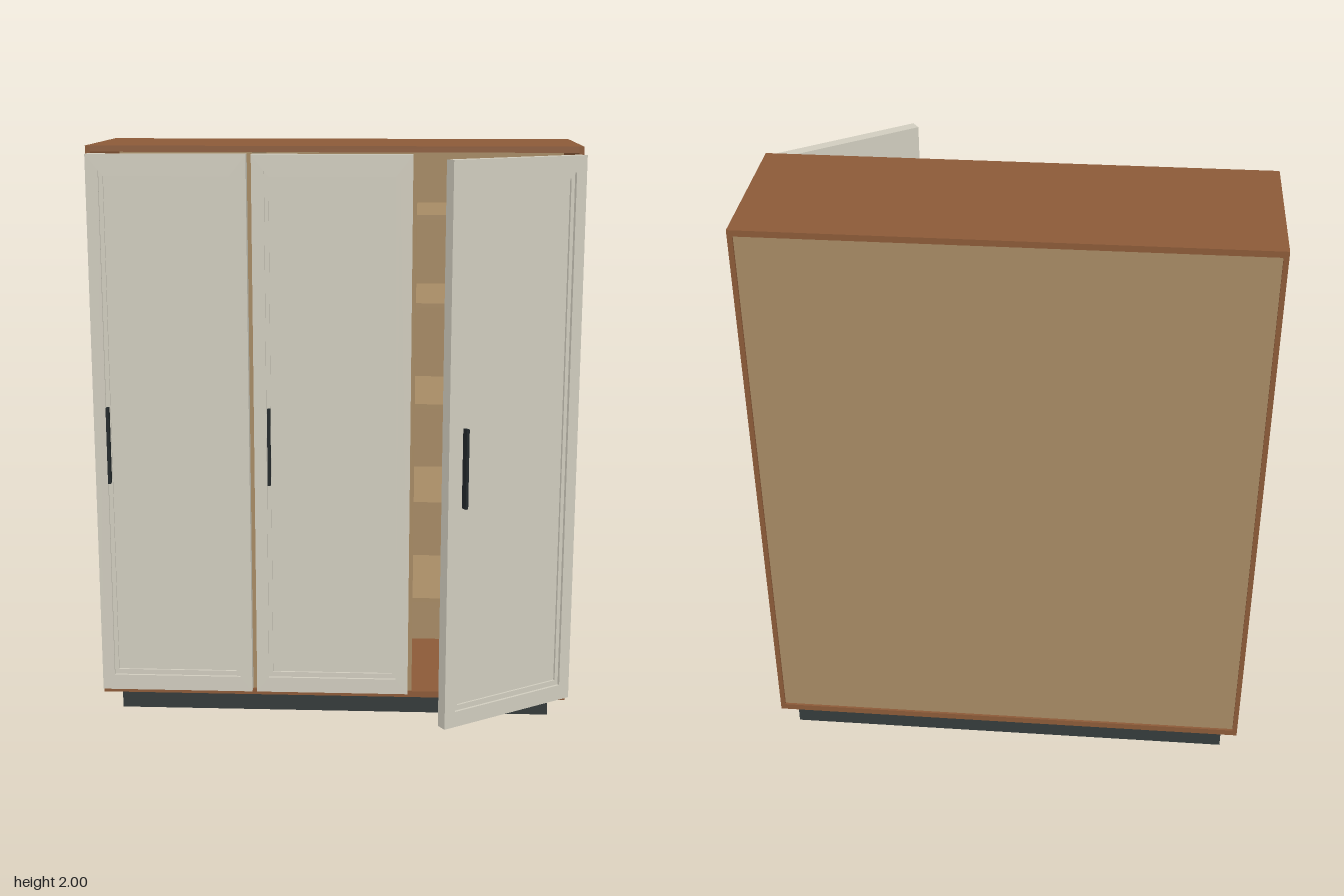
import * as THREE from 'three';

const mat = (name, color) => Object.assign(new THREE.MeshStandardMaterial({ color }), { name });

export function createModel() {
  const wood = mat('brown wood', 0x8b5a38);
  const lining = mat('tan lining', 0xa68a64);
  const paint = mat('door paint', 0xd0ccbe);
  const dark = mat('plinth charcoal', 0x343b3b);
  const metal = mat('handle black', 0x22282a);
  const model = new THREE.Group();
  model.name = 'wardrobe';

  // Box given by its low and high corners
  const box = (parent, name, material, [x0, y0, z0], [x1, y1, z1]) => {
    const mesh = new THREE.Mesh(new THREE.BoxGeometry(x1 - x0, y1 - y0, z1 - z0), material);
    mesh.position.set((x0 + x1) / 2, (y0 + y1) / 2, (z0 + z1) / 2);
    mesh.name = name;
    parent.add(mesh);
    return mesh;
  };

  // Rectangular ring: outer rectangle less an inner one, extruded along z
  const ring = (parent, name, [x0, y0, x1, y1], mx, my, z, depth) => {
    const rect = (T, a, b, c, d) => new T([[a, b], [c, b], [c, d], [a, d]].map(p => new THREE.Vector2(...p)));
    const shape = rect(THREE.Shape, x0, y0, x1, y1);
    shape.holes.push(rect(THREE.Path, x0 + mx, y0 + my, x1 - mx, y1 - my));
    const mesh = new THREE.Mesh(new THREE.ExtrudeGeometry(shape, { depth, bevelEnabled: false }), paint);
    mesh.position.z = z;
    mesh.name = name;
    parent.add(mesh);
  };

  // Carcass and plinth
  const L = -0.818, R = 0.812, B = -0.44, F = 0.104, T = 0.016;
  box(model, 'plinth', dark, [-0.765, 0, -0.405], [0.758, 0.086, 0.035]);
  box(model, 'leftSide', wood, [R - T, 0.086, B], [R, 2, F]);
  box(model, 'rightSide', wood, [L, 0.086, B], [L + T, 2, F]);
  box(model, 'top', wood, [L + T, 1.98, B], [R - T, 2, F]);
  box(model, 'bottom', wood, [L + T, 0.086, B], [R - T, 0.108, F]);
  box(model, 'backPanel', lining, [L + T, 0.108, B + 0.008], [R - T, 1.98, B + 0.018]);

  // Interior partitions and shelves
  for (const x of [-0.286, 0.256]) {
    box(model, 'partition', lining, [x, 0.108, B + 0.018], [x + 0.018, 1.98, F - 0.006]);
  }
  for (const y of [0.437, 0.785, 1.13, 1.475, 1.768]) {
    box(model, 'shelf', lining, [0.274, y - 0.007, B + 0.018], [R - T, y + 0.007, F - 0.03]);
  }

  // Panelled door, origin at its hinge on the back face, extending toward -x
  const W = 0.528, Y0 = 0.112, Y1 = 1.975;
  const makeDoor = (name, x, z, angle) => {
    const door = new THREE.Group();
    door.name = name;
    box(door, 'doorPanel', paint, [-W, Y0, 0], [0, Y1, 0.022]);
    ring(door, 'doorFrame', [-W, Y0, 0, Y1], 0.042, 0.054, 0.022, 0.016);
    ring(door, 'doorMoulding', [-W + 0.042, Y0 + 0.054, -0.042, Y1 - 0.054], 0.014, 0.018, 0.022, 0.007);
    box(door, 'handle', metal, [-W + 0.047, 0.87, 0.047], [-W + 0.057, 1.133, 0.068]);
    door.position.set(x, 0, z);
    door.rotation.y = angle;
    model.add(door);
  };
  makeDoor('rightDoor', -0.285, F, 0);
  makeDoor('middleDoor', 0.26, F, 0);
  makeDoor('openLeftDoor', 0.798, 0.109, 0.6);

  return model;
}
